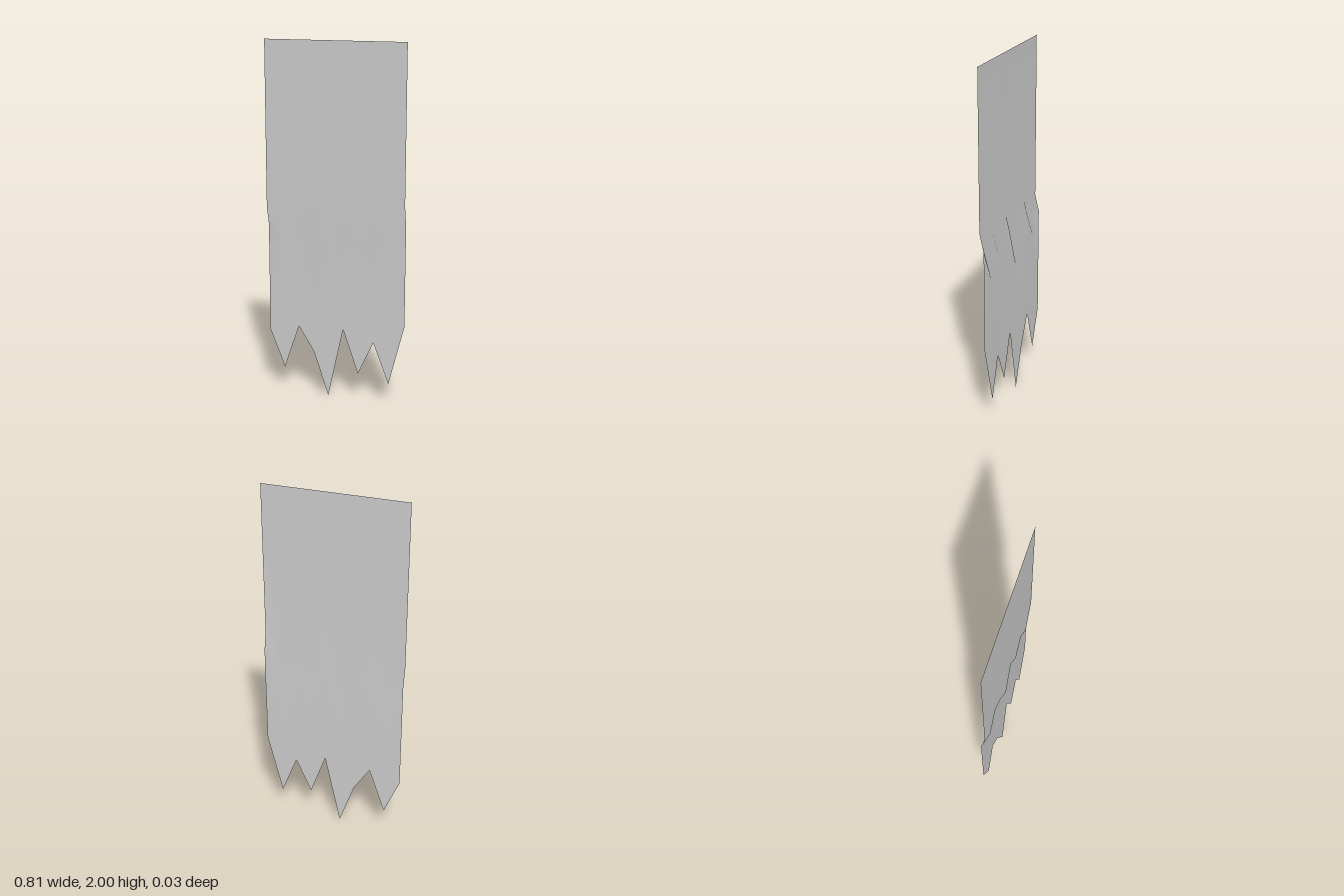
import * as THREE from 'three';

// Height of the torn lower edge at ten evenly spaced columns
const TORN = [0.35, 0.135, 0.395, 0.255, 0.0, 0.41, 0.16, 0.355, 0.125, 0.47];
// Depth of the lower half at each column (slightly rippled)
const BACK = [-0.011, -0.011, -0.011, -0.014, -0.011, -0.011, -0.011, -0.011, -0.014, -0.01];
const HALF_WIDTH = 0.405;
const FRONT = 0.012;

export function createModel() {
  const group = new THREE.Group();
  const cols = TORN.length - 1;
  const geometry = new THREE.PlaneGeometry(1, 1, cols, 3);
  const pos = geometry.attributes.position;

  // Rows: top edge, crease start, crease end, torn edge; the crease echoes the tear
  TORN.forEach((torn, i) => {
    const x = -HALF_WIDTH + (2 * HALF_WIDTH * i) / cols;
    const crease = 0.88 + 0.56 * torn;
    const rows = [[2, FRONT], [crease, FRONT], [crease - 0.1, BACK[i]], [torn, BACK[i]]];
    rows.forEach(([y, z], r) => pos.setXYZ(r * (cols + 1) + i, x, y, z));
  });
  geometry.computeVertexNormals();

  const cloth = new THREE.Mesh(
    geometry,
    new THREE.MeshStandardMaterial({ color: 0xcccccc, side: THREE.DoubleSide })
  );
  cloth.name = 'tornClothBanner';
  group.add(cloth);
  return group;
}
